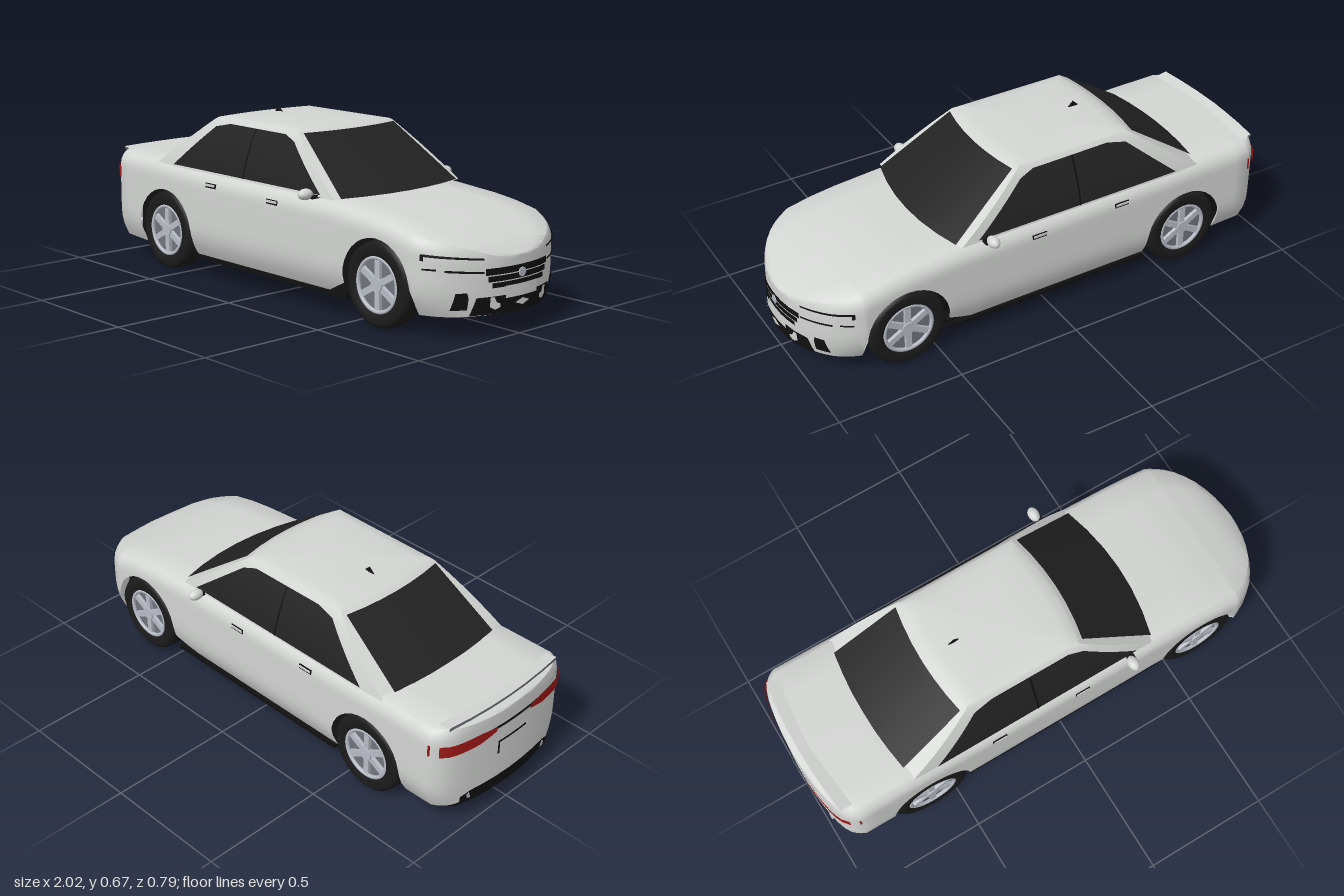
import * as THREE from 'three';
import { toCreasedNormals } from 'three/addons/utils/BufferGeometryUtils.js';

const paint = (name, color) => {
  const m = new THREE.MeshStandardMaterial({ color, side: THREE.DoubleSide });
  m.name = name;
  return m;
};
const lerp = THREE.MathUtils.lerp;
const V = (x, y, z) => new THREE.Vector3(x, y, z);

// Piecewise linear lookup in [x, y] pairs
const table = (pts, x) => {
  for (let i = 1; i < pts.length; i++) {
    const [x0, y0] = pts[i - 1], [x1, y1] = pts[i];
    if (x <= x1) return lerp(y0, y1, Math.max(0, (x - x0) / (x1 - x0)));
  }
  return pts[pts.length - 1][1];
};

// Skin over rows of points
function loft(rows, crease = 0.7) {
  const n = rows[0].length, index = [];
  for (let i = 0; i + 1 < rows.length; i++) for (let j = 0; j + 1 < n; j++) {
    const a = i * n + j, b = a + n;
    index.push(a, b, a + 1, b, b + 1, a + 1);
  }
  const g = new THREE.BufferGeometry().setFromPoints(rows.flat());
  g.setIndex(index);
  return toCreasedNormals(g, crease);
}

// Thin panel laid on a surface; stations are [u, low, high]
function panel(stations, map) {
  const rows = [];
  stations.forEach(([u, lo, hi], i) => {
    if (!i) return;
    const [pu, pl, ph] = stations[i - 1];
    for (let k = i === 1 ? 0 : 1; k <= 6; k++) {
      const t = k / 6, row = [];
      for (let j = 0; j <= 6; j++) row.push(map(lerp(pu, u, t), lerp(lerp(pl, lo, t), lerp(ph, hi, t), j / 6)));
      rows.push(row);
    }
  });
  return loft(rows);
}

// Body rules: plan of both ends, top line, lower edge and section
const W = 0.345, R = 0.17, AXLE_Y = 0.158, AXLES = [-0.605, 0.627];
const noseX = w => 1 - 0.13 * (w / 0.32) ** 2.2 - 0.05 * (w / W) ** 12;
const tailX = w => -1 + 0.035 * (w / 0.3) ** 2 + 0.05 * (w / W) ** 12;
const topY = x => table([[-1, 0.43], [-0.97, 0.442], [-0.93, 0.445], [-0.7, 0.443], [-0.3, 0.428], [0.4, 0.417],
  [0.6, 0.402], [0.7, 0.389], [0.8, 0.368], [0.9, 0.337], [0.95, 0.315], [1, 0.28]], x);
const lowY = x => {
  for (const a of AXLES) if (Math.abs(x - a) <= 0.1701) return AXLE_Y + Math.sqrt(Math.max(0, R * R - (x - a) ** 2));
  return table([[-1, 0.1], [-0.78, 0.08], [0.34, 0.08], [0.457, 0.135], [0.4571, 0.08], [0.9, 0.08], [1, 0.085]], x);
};
const tuck = y => 1 - 0.12 * Math.max(0, (0.2 - y) / 0.12) ** 2;
const round = h => 1 - 0.1 * Math.max(0, 1 - Math.max(0, h) / 0.07) ** 3;

function bodyRing(x, w) {
  const T = topY(x), b = lowY(x), half = [];
  for (let i = 0; i <= 7; i++) half.push([0, lerp(b, T - 0.07, i / 7)]);
  for (const h of [0.05, 0.033, 0.018, 0.008, 0]) half.push([0, T - h]);
  half.forEach(p => { p[0] = w * tuck(p[1]) * round(T - p[1]); });
  half.push([w * 0.6, T + 0.003], [w * 0.3, T + 0.004], [0, T + 0.005]);
  const left = half.map(([z, y]) => V(x, y, z));
  return [...left, ...left.slice(0, -1).reverse().map(p => V(p.x, p.y, -p.z))];
}

// Surface points on the nose and tail for panels
const endMap = (plan, off) => (z, y) => {
  let w = Math.abs(z);
  for (let i = 0; i < 4; i++) w = Math.min(W, Math.abs(z) / (tuck(y) * round(topY(plan(w)) - y)));
  return V(plan(w) + off, y, z * 1.01);
};

// Cabin rules
const Y0 = 0.425, Y1 = 0.632;
const level = y => (y - Y0) / (Y1 - Y0);
const cabinZ = v => lerp(0.325, 0.247, v) + 0.036 * v * (1 - v);
const screenX = (z, v) => lerp(0.445, 0.14, v) - 0.5 * z * z;
const rearX = (z, v) => lerp(-0.72, -0.41, v) + 0.4 * z * z;

function cabinGeometry() {
  const ring = v => {
    const out = [], c = cabinZ(v), y = lerp(Y0, Y1, v), xr = rearX(c, v), xf = screenX(c, v);
    for (let i = 0; i < 12; i++) out.push(V(lerp(xr, xf, i / 12), y, c));
    for (let i = 0; i < 10; i++) { const z = lerp(c, -c, i / 10); out.push(V(screenX(z, v), y, z)); }
    for (let i = 0; i < 12; i++) out.push(V(lerp(xf, xr, i / 12), y, -c));
    for (let i = 0; i <= 10; i++) { const z = lerp(-c, c, i / 10); out.push(V(rearX(z, v), y, z)); }
    return out;
  };
  const rows = [0, 0.2, 0.4, 0.6, 0.8, 1].map(ring);
  for (const [k, y] of [[0.96, 0.639], [0.8, 0.645], [0.4, 0.65], [0, 0.651]])
    rows.push(ring(1).map(p => V(-0.13 + (p.x + 0.13) * k, y, p.z * k)));
  return loft(rows, 0.6);
}

export function createModel() {
  const car = new THREE.Group();
  car.name = 'sedan';
  const white = paint('body paint', 0xd3d5d3), glass = paint('dark glass', 0x222222), black = paint('black trim', 0x101010);
  const rubber = paint('tyre rubber', 0x1b1b1b), alloy = paint('alloy', 0xb9bdc6), shade = paint('rim shade', 0x70747c);
  const red = paint('lamp red', 0xa01818);
  const add = (name, geo, mat, parent = car) => {
    const m = new THREE.Mesh(geo, mat);
    m.name = name;
    parent.add(m);
    return m;
  };
  const box = (name, mat, w, h, d, x, y, z) => add(name, new THREE.BoxGeometry(w, h, d), mat).position.set(x, y, z);

  // Body shell with wheel arches
  const ends = [W, 0.342, 0.335, 0.325, 0.31, 0.285, 0.25, 0.21, 0.16, 0.11, 0.05, 0];
  const xs = [-0.85, -0.3, -0.15, 0, 0.15, 0.3, 0.34, 0.4, 0.45];
  for (const a of AXLES) {
    for (let k = -8; k <= 8; k++) xs.push(a + R * Math.sin(k * Math.PI / 16));
    xs.push(a - 0.1702, a + 0.1702);
  }
  xs.sort((p, q) => p - q);
  add('body', loft([
    ...[...ends].reverse().map(w => bodyRing(tailX(w), w)),
    ...xs.filter(x => x < noseX(W) - 0.0005).map(x => bodyRing(x, W)),
    ...ends.map(w => bodyRing(noseX(w), w))]), white);

  // Underside, notched at the wheels
  const side = [];
  for (const w of [0, 0.1, 0.2, 0.28, 0.335]) side.push([tailX(w) + 0.004, w * 0.88]);
  for (const a of AXLES) side.push([a - R, 0.297], [a - R, 0.25], [a + R, 0.25], [a + R, 0.297]);
  for (const w of [0.335, 0.28, 0.2, 0.1, 0]) side.push([noseX(w) - 0.004, w * 0.88]);
  const outline = [...side, ...[...side].reverse().map(([x, z]) => [x, -z])].map(p => new THREE.Vector2(...p));
  const floor = new THREE.ExtrudeGeometry(new THREE.Shape(outline), { depth: 0.015, bevelEnabled: false });
  add('underside', floor.rotateX(-Math.PI / 2).translate(0, 0.08, 0), black);
  box('wheelWells', black, 1.74, 0.22, 0.5, -0.02, 0.2, 0);

  // Cabin and glass
  add('cabin', cabinGeometry(), white);
  add('windshield', panel([[-1, 0.425, 0.626], [1, 0.425, 0.626]], (u, y) => {
    const v = level(y), z = u * lerp(0.3, 0.232, v);
    return V(screenX(z, v) + 0.004, y + 0.004, z);
  }), glass);
  add('rearWindow', panel([[-1, 0.44, 0.624], [1, 0.44, 0.624]], (u, y) => {
    const v = level(y), z = u * lerp(0.268, 0.236, v);
    return V(rearX(z, v) - 0.004, y + 0.004, z);
  }), glass);

  for (const s of [1, -1]) {
    const onSide = off => (x, y) => V(x, y, s * (cabinZ(level(y)) + off));
    add('sideWindows', panel([[-0.56, 0.435, 0.436], [-0.36, 0.435, 0.605], [-0.28, 0.435, 0.622],
      [0.05, 0.435, 0.62], [0.11, 0.435, 0.6], [0.32, 0.435, 0.436]], onSide(0.004)), glass);
    add('windowDivider', panel([[-0.124, 0.435, 0.62], [-0.116, 0.435, 0.62]], onSide(0.006)), black);
    // Skirts, handles and mirrors
    box('sideSkirt', black, 0.88, 0.014, 0.03, 0.01, 0.078, s * 0.307);
    for (const [x, y] of [[-0.3, 0.384], [0.07, 0.374]]) {
      box('handleRecess', black, 0.062, 0.018, 0.008, x, y, s * 0.342);
      box('doorHandle', white, 0.056, 0.009, 0.012, x, y + 0.002, s * 0.343);
    }
    box('mirrorStem', black, 0.03, 0.012, 0.045, 0.29, 0.426, s * 0.328);
    const mirror = add('mirror', new THREE.SphereGeometry(1, 20, 14), white);
    mirror.scale.set(0.022, 0.021, 0.032);
    mirror.position.set(0.282, 0.437, s * 0.364);
    box('sideMarker', red, 0.007, 0.045, 0.006, -0.908, 0.362, s * 0.343);
  }
  const fin = add('antenna', new THREE.ConeGeometry(0.014, 0.026, 8), black);
  fin.scale.set(2, 1, 0.35);
  fin.position.set(-0.29, 0.657, 0);

  // Nose details
  const nose = endMap(noseX, 0.006), noseOver = endMap(noseX, 0.011);
  const bar = (w, lo, hi, w2 = w) => [[-w, lo, hi], [w2, lo, hi]];
  for (const [w, lo, hi] of [[0.155, 0.226, 0.25], [0.145, 0.202, 0.222], [0.13, 0.18, 0.198]])
    add('grilleBar', panel(bar(w, lo, hi), nose), black);
  add('lowerIntake', panel([[-0.2, 0.086, 0.09], [-0.185, 0.086, 0.15], [0.185, 0.086, 0.15], [0.2, 0.086, 0.09]], nose), black);
  add('intakeInsert', panel([[-0.035, 0.118, 0.119], [0, 0.106, 0.131], [0.035, 0.118, 0.119]], noseOver), white);
  add('frontPlate', panel(bar(0.08, 0.14, 0.184), noseOver), white);
  add('roundBadge', new THREE.CylinderGeometry(0.017, 0.017, 0.008, 24).rotateZ(Math.PI / 2), alloy).position.set(1.005, 0.222, 0);
  for (const s of [1, -1]) {
    const p = list => list.map(([z, lo, hi]) => [z * s, lo, hi]);
    add('headlampTopLine', panel(p([[0.16, 0.281, 0.287], [0.33, 0.297, 0.306]]), nose), black);
    add('headlampLowLine', panel(p([[0.16, 0.234, 0.241], [0.28, 0.244, 0.252]]), nose), black);
    add('headlampCornerLine', panel(p([[0.3, 0.249, 0.256], [0.328, 0.25, 0.256]]), nose), black);
    add('headlampEnd', panel(p([[0.325, 0.282, 0.303], [0.331, 0.282, 0.303]]), nose), black);
    add('fogVent', panel(p([[0.21, 0.108, 0.152], [0.216, 0.108, 0.17], [0.25, 0.108, 0.17], [0.257, 0.108, 0.112]]), nose), black);
    add('intakeFin', panel(p([[0.1, 0.112, 0.124], [0.115, 0.105, 0.13], [0.125, 0.106, 0.15], [0.14, 0.115, 0.15]]), noseOver), white);
  }

  // Tail details
  const tail = endMap(tailX, -0.005), tailOver = endMap(tailX, -0.009);
  add('tailStrip', panel(bar(0.15, 0.366, 0.378), tail), black);
  add('rearPlateFrame', panel(bar(0.075, 0.245, 0.305), tail), black);
  add('rearPlate', panel(bar(0.071, 0.249, 0.301), tailOver), white);
  add('rearDiffuser', panel([[-0.24, 0.104, 0.13], [-0.2, 0.104, 0.142], [0.2, 0.104, 0.142], [0.24, 0.104, 0.13]], tail), black);
  add('bootLip', panel([[-0.29, 0, 1], [0.29, 0, 1]], (z, t) => V(lerp(-0.925, -0.975, t) + 0.25 * z * z, lerp(0.448, 0.457, t), z)), white);
  add('bootLipShadow', panel([[-0.29, 0, 1], [0.29, 0, 1]], (z, t) => V(-0.974 + 0.25 * z * z, lerp(0.442, 0.456, t), z)), shade);
  for (const s of [1, -1]) {
    add('tailLamp', panel([[s * 0.09, 0.362, 0.38], [s * 0.17, 0.343, 0.388], [s * 0.325, 0.34, 0.388]], tailOver), red);
    add('exhaust', new THREE.CylinderGeometry(0.014, 0.014, 0.04, 16).rotateZ(Math.PI / 2), alloy).position.set(-0.968, 0.122, s * 0.2);
  }

  // Wheels
  const tyre = new THREE.LatheGeometry([[0.098, -0.04], [0.14, -0.045], [0.154, -0.036], [0.158, -0.02], [0.158, 0.02],
    [0.154, 0.036], [0.14, 0.045], [0.105, 0.043], [0.1, 0.03]].map(p => new THREE.Vector2(...p)), 40).rotateX(Math.PI / 2);
  const disc = (r, d) => new THREE.CylinderGeometry(r, r, d, 32).rotateX(Math.PI / 2);
  for (const x of AXLES) for (const s of [1, -1]) {
    const wheel = new THREE.Group();
    wheel.name = 'wheel';
    wheel.position.set(x, AXLE_Y, s * 0.295);
    if (s < 0) wheel.rotation.y = Math.PI;
    car.add(wheel);
    add('tyre', tyre, rubber, wheel);
    add('rimBack', disc(0.1, 0.05), shade, wheel);
    add('rimRing', new THREE.TorusGeometry(0.098, 0.008, 8, 40), alloy, wheel).position.z = 0.036;
    add('hub', disc(0.026, 0.02), alloy, wheel).position.z = 0.034;
    for (let i = 0; i < 6; i++) {
      const spoke = add('spoke', new THREE.BoxGeometry(0.024, 0.08, 0.014).translate(0, 0.056, 0.032), alloy, wheel);
      spoke.rotation.z = i * Math.PI / 3;
    }
  }
  return car;
}
